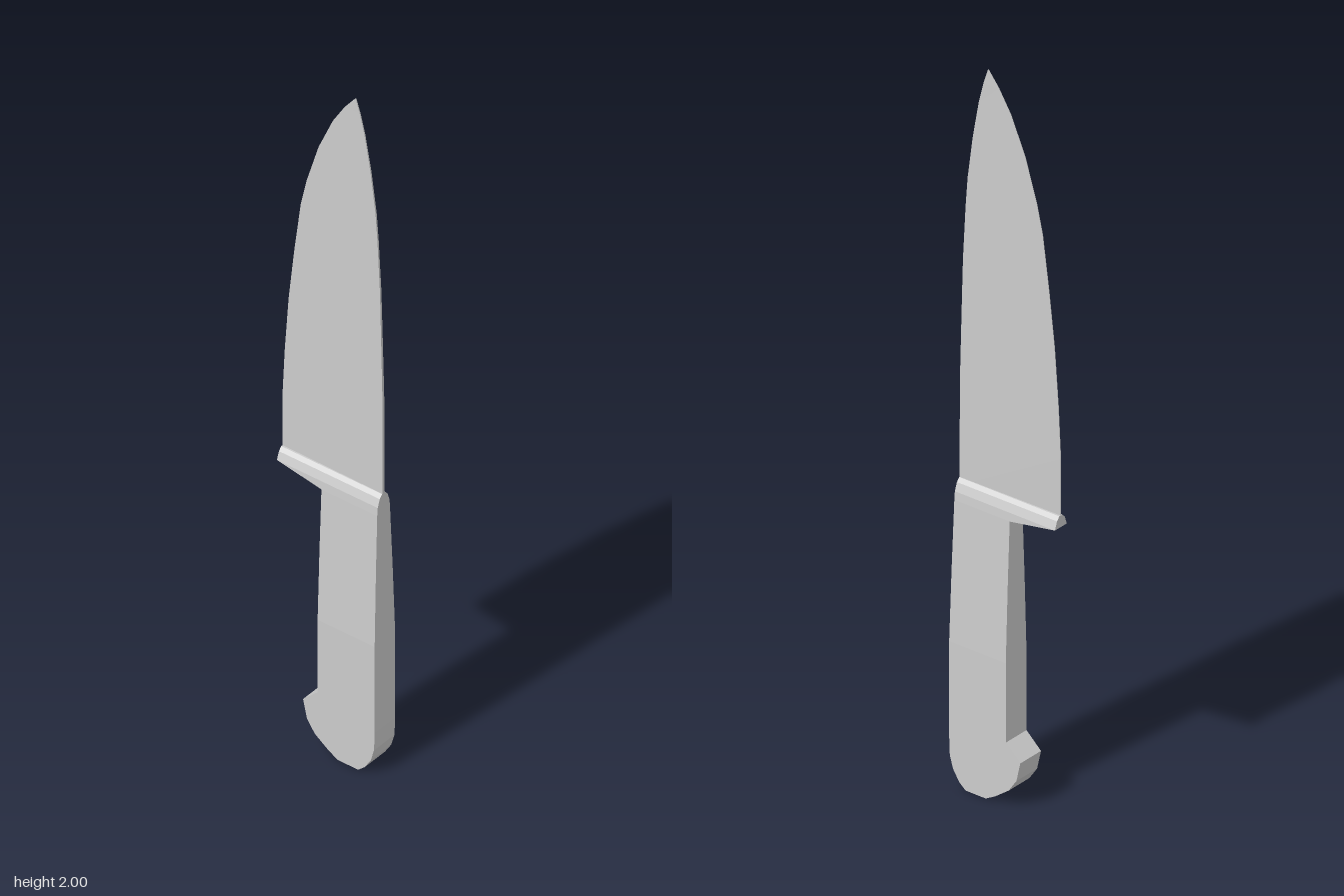
import * as THREE from 'three';

// Skins a stack of four-cornered sections, bottom to top.
// Each section: [y, spine z, edge z, half width at spine, half width at edge]
function loft(name, sections) {
  const rings = sections.map(([y, spine, edge, ws, we = ws]) => [
    [ws, y, spine], [we, y, edge], [-we, y, edge], [-ws, y, spine],
  ]);
  const pos = [];
  const quad = (a, b, c, d) => pos.push(...a, ...b, ...c, ...a, ...c, ...d);
  for (let r = 0; r < rings.length - 1; r++) {
    for (let i = 0; i < 4; i++) {
      const j = (i + 1) % 4;
      quad(rings[r][i], rings[r][j], rings[r + 1][j], rings[r + 1][i]);
    }
  }
  quad(...rings[rings.length - 1]);
  quad(...[...rings[0]].reverse());
  const geo = new THREE.BufferGeometry();
  geo.setAttribute('position', new THREE.Float32BufferAttribute(pos, 3));
  geo.computeVertexNormals();
  const mesh = new THREE.Mesh(geo, new THREE.MeshStandardMaterial({ color: 0xcccccc, flatShading: true }));
  mesh.name = name;
  return mesh;
}

export function createModel() {
  const group = new THREE.Group();
  group.name = 'kitchenKnife';

  // Handle with rounded butt and finger hook
  group.add(loft('handle', [
    [0.003, 0.108, 0.045, 0.04],
    [0.02, 0.128, 0.015, 0.04],
    [0.05, 0.147, -0.026, 0.04],
    [0.085, 0.157, -0.05, 0.04],
    [0.138, 0.159, -0.062, 0.04],
    [0.18, 0.159, -0.017, 0.04],
    [0.4, 0.159, -0.017, 0.04],
    [0.6, 0.157, -0.017, 0.033],
    [0.787, 0.155, -0.017, 0.025],
  ]));

  // Bolster flaring out to the heel, with chamfered top
  group.add(loft('bolster', [
    [0.787, 0.155, -0.017, 0.025],
    [0.81, 0.155, -0.156, 0.023],
    [0.832, 0.155, -0.156, 0.015],
    [0.842, 0.155, -0.156, 0.006],
  ]));

  // Blade, thick at the spine and thin at the cutting edge
  const outline = [
    [0.82, 0.155, -0.156], [1.0, 0.155, -0.156], [1.14, 0.154, -0.149],
    [1.3, 0.15, -0.137], [1.45, 0.146, -0.12], [1.6, 0.138, -0.1],
    [1.68, 0.132, -0.082], [1.8, 0.116, -0.045], [1.9, 0.098, -0.001],
    [1.96, 0.083, 0.036], [2.0, 0.07, 0.068],
  ];
  group.add(loft('blade', outline.map(([y, s, e]) => {
    const w = 0.0045 - 0.003 * (y - 0.82) / 1.18;
    return [y, s, e, w, 0.0008];
  })));

  return group;
}
